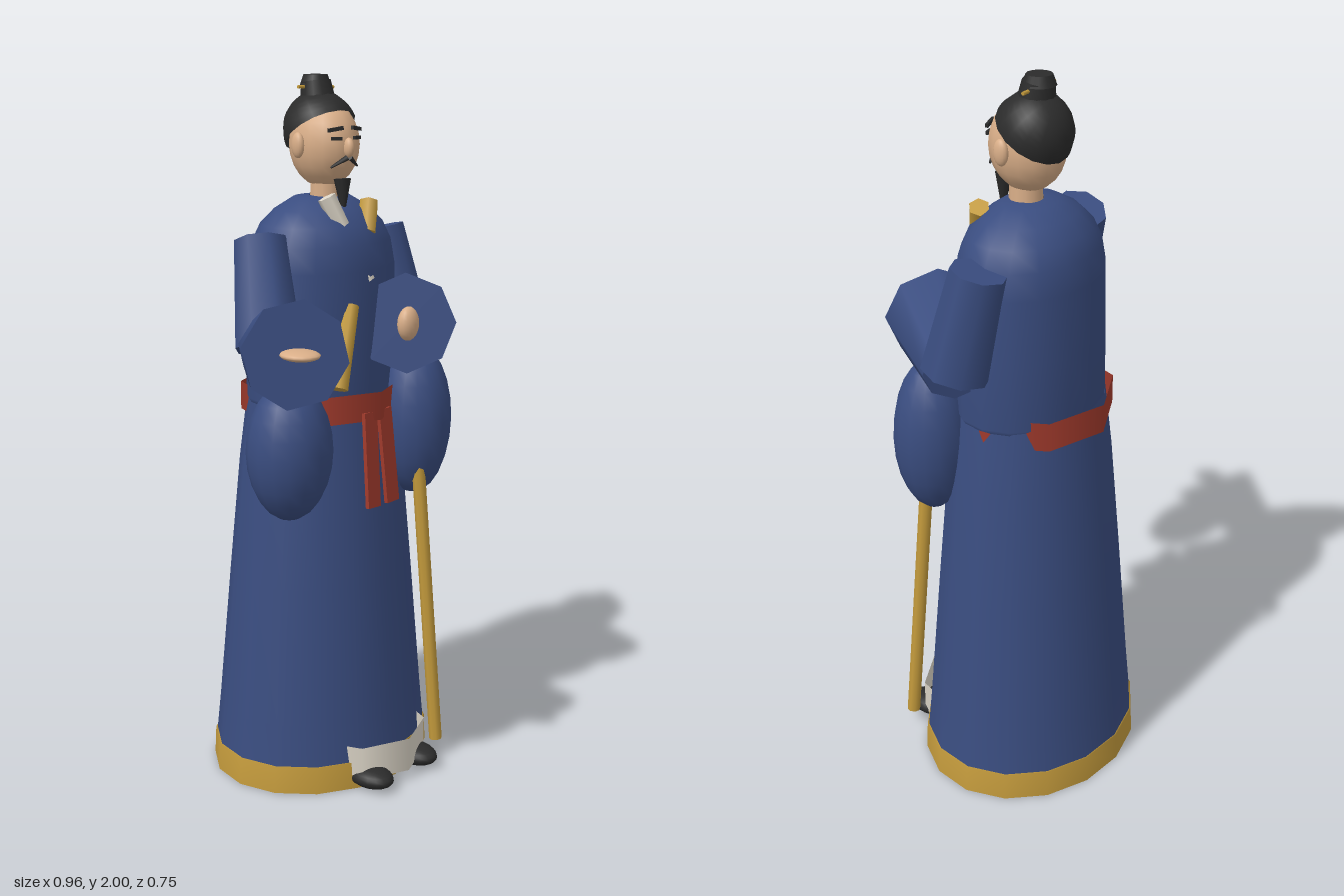
import * as THREE from 'three';

const mat = (name, color, side = THREE.FrontSide) => {
  const m = new THREE.MeshStandardMaterial({ color, side });
  m.name = name;
  return m;
};

export function createModel() {
  const blue = mat('robeBlue', 0x3a4d80, THREE.DoubleSide);
  const gold = mat('gold', 0xc39a3c, THREE.DoubleSide);
  const red = mat('sashRed', 0xa03a2c, THREE.DoubleSide);
  const white = mat('linenWhite', 0xddd6c8, THREE.DoubleSide);
  const skin = mat('skin', 0xd9ae88);
  const black = mat('black', 0x2b2b2b, THREE.DoubleSide);

  const root = new THREE.Group();
  root.name = 'robedScholar';
  const CX = 0.12, CZ = -0.08; // body axis

  const add = (name, geo, material, pos = [0, 0, 0], scale = [1, 1, 1], rot = [0, 0, 0], parent = root) => {
    const m = new THREE.Mesh(geo, material);
    m.name = name;
    m.position.set(...pos);
    m.scale.set(...scale);
    m.rotation.set(...rot);
    parent.add(m);
    return m;
  };
  const ball = (name, material, pos, radii, rot, parent) =>
    add(name, new THREE.SphereGeometry(1, 16, 12), material, pos, radii, rot, parent);
  // tapered rod between two points
  const rod = (name, material, a, b, ra, rb, sides = 8, parent = root) => {
    const p = new THREE.Vector3(...a), q = new THREE.Vector3(...b);
    const d = q.clone().sub(p);
    const m = add(name, new THREE.CylinderGeometry(rb, ra, d.length(), sides), material,
      p.clone().add(q).multiplyScalar(0.5).toArray(), [1, 1, 1], [0, 0, 0], parent);
    m.quaternion.setFromUnitVectors(new THREE.Vector3(0, 1, 0), d.normalize());
    return m;
  };
  const lathe = (name, material, pts, depth) => add(name,
    new THREE.LatheGeometry(pts.map(p => new THREE.Vector2(...p)), 16), material, [CX, 0, CZ], [1, 1, depth]);

  // Robe
  lathe('skirt', blue, [[0.342, 0.07], [0.328, 0.2], [0.29, 0.6], [0.257, 0.93], [0.23, 1.13]], 0.84);
  lathe('hem', gold, [[0.35, 0], [0.346, 0.08], [0.338, 0.08]], 0.84);
  lathe('torso', blue, [[0.23, 1.1], [0.243, 1.12], [0.241, 1.3], [0.236, 1.48], [0.222, 1.55],
    [0.195, 1.6], [0.15, 1.64], [0.09, 1.672], [0.04, 1.675]], 0.77);
  add('skirtFloor', new THREE.CircleGeometry(1, 16), blue, [CX, 0.015, CZ], [0.345, 0.29, 1], [Math.PI / 2, 0, 0]);
  add('liningRing', new THREE.RingGeometry(0.6, 1, 24), white, [CX, 0.01, CZ], [0.25, 0.21, 1], [Math.PI / 2, 0, 0]);
  add('underRobe', new THREE.CylinderGeometry(0.2, 0.2, 0.1, 8, 1, true), white, [CX, 0.08, 0.065]);

  // Sash with two hanging tails
  add('sash', new THREE.CylinderGeometry(1, 1, 0.08, 8, 1, true), red, [CX, 1.105, CZ], [0.237, 1, 0.225]);
  for (const [x, lean] of [[0.083, -0.04], [0.155, 0.03]])
    add('sashTail', new THREE.BoxGeometry(0.052, 0.27, 0.012), red, [x, 0.955, 0.142], [1, 1, 1], [-0.1, 0, lean]);

  // Collar bands
  rod('collar', white, [0.04, 1.68, 0.01], [0.125, 1.45, 0.088], 0.026, 0.02, 6);
  rod('collarTrim', gold, [0.2, 1.655, 0.025], [0.155, 1.575, 0.055], 0.028, 0.028, 6);
  rod('scroll', gold, [-0.035, 1.175, 0.12], [0.058, 1.39, 0.085], 0.028, 0.022, 8);

  // Sleeves, hands and hanging cuffs
  const arm = (side, shoulder, elbow, wrist, hand, handR, cuff, cuffR) => {
    rod(side + 'UpperSleeve', blue, shoulder, elbow, 0.075, 0.093);
    rod(side + 'ForearmSleeve', blue, elbow, wrist, 0.085, 0.14);
    ball(side + 'Hand', skin, hand, handR);
    ball(side + 'HangingSleeve', blue, cuff, cuffR);
  };
  arm('right', [-0.12, 1.57, -0.085], [-0.195, 1.3, 0.015], [-0.367, 1.345, 0.272],
    [-0.4, 1.356, 0.317], [0.048, 0.014, 0.054], [-0.303, 1.07, 0.19], [0.118, 0.185, 0.11]);
  arm('left', [0.365, 1.56, -0.08], [0.388, 1.28, -0.02], [0.2, 1.33, 0.165],
    [0.171, 1.337, 0.195], [0.036, 0.048, 0.026], [0.308, 1.03, 0.112], [0.112, 0.222, 0.106]);

  // Walking staff
  rod('staff', gold, [0.3, 0.055, 0.222], [0.262, 1.0, 0.158], 0.019, 0.019);

  // Shoes
  for (const x of [0.015, 0.217]) ball('shoe', black, [x, 0.033, 0.207], [0.053, 0.031, 0.077]);

  // Head, turned slightly to its right
  rod('neck', skin, [CX, 1.63, -0.065], [CX, 1.76, -0.065], 0.045, 0.042, 12);
  const head = new THREE.Group();
  head.name = 'head';
  head.position.set(CX, 1.82, -0.075);
  head.rotation.y = -0.17;
  root.add(head);
  ball('face', skin, [0, -0.005, 0.005], [0.092, 0.12, 0.107], [0, 0, 0], head);
  ball('nose', skin, [0, -0.01, 0.112], [0.014, 0.027, 0.018], [0, 0, 0], head);
  add('hair', new THREE.SphereGeometry(1, 16, 10, 0, Math.PI * 2, 0, Math.PI * 0.5), black,
    [0, 0.028, -0.012], [0.102, 0.112, 0.106], [-0.6, 0, 0], head);
  for (const s of [-1, 1]) {
    ball('ear', skin, [s * 0.095, -0.005, 0.01], [0.015, 0.035, 0.022], [0, 0, 0], head);
    add('eyebrow', new THREE.BoxGeometry(0.044, 0.01, 0.008), black, [s * 0.036, 0.04, 0.1], [1, 1, 1], [0, s * 0.35, -s * 0.15], head);
    add('eye', new THREE.BoxGeometry(0.03, 0.009, 0.008), black, [s * 0.035, 0.015, 0.104], [1, 1, 1], [0, s * 0.35, 0], head);
    rod('moustache', black, [s * 0.004, -0.036, 0.112], [s * 0.046, -0.062, 0.092], 0.008, 0.003, 6, head);
  }
  rod('beard', black, [0, -0.095, 0.085], [0, -0.182, 0.09], 0.024, 0.006, 8, head);

  // Topknot with pin
  add('topknot', new THREE.CylinderGeometry(0.042, 0.05, 0.055, 12), black, [0.122, 1.955, -0.1], [1, 1, 1], [-0.15, 0, 0]);
  add('topknotCap', new THREE.CylinderGeometry(0.034, 0.044, 0.028, 12), black, [0.122, 1.986, -0.105]);
  rod('hairpin', gold, [0.057, 1.968, -0.11], [0.188, 1.964, -0.098], 0.005, 0.005, 6);

  return root;
}
